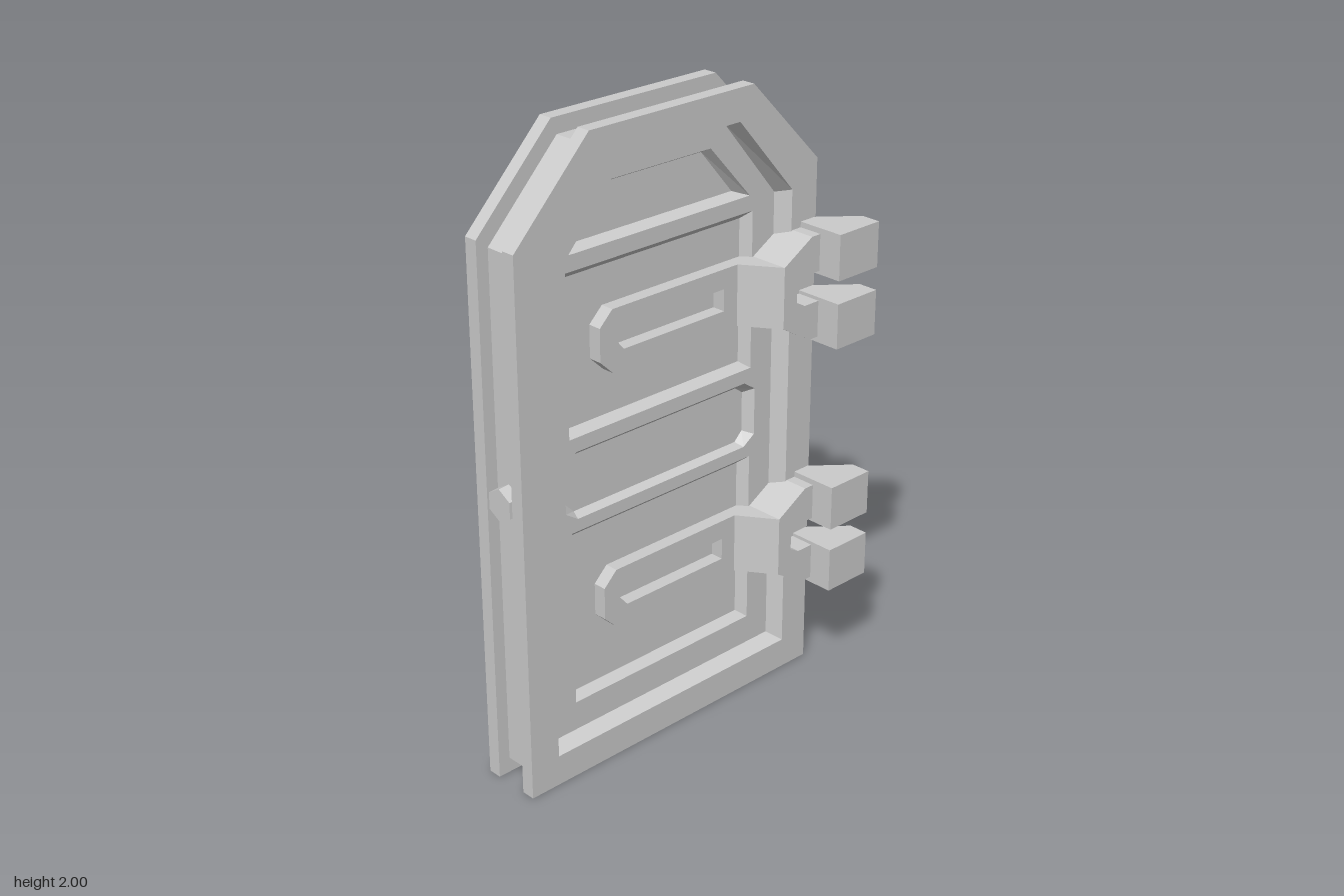
import * as THREE from 'three';

const mat = new THREE.MeshStandardMaterial({ color: 0xcccccc, flatShading: true });
const CX = -0.055; // door centre line
const CZ = -0.08; // middle of the door's thickness

function add(parent, name, geo) {
  const mesh = new THREE.Mesh(geo, mat);
  mesh.name = name;
  parent.add(mesh);
  return mesh;
}

// Symmetric loop from its right half, listed bottom to top
const sym = (half) => [...half, ...half.map(([x, y]) => [-x, y]).reverse()];

// Stitch [loop, z] rings with equal point counts; optionally cap the last one
function loft(rings, cap = false) {
  const pos = [];
  const put = ([x, y], z) => pos.push(x, y, z);
  for (let r = 0; r + 1 < rings.length; r++) {
    const [a, za] = rings[r], [b, zb] = rings[r + 1];
    a.forEach((p, i) => {
      const j = (i + 1) % a.length;
      put(p, za); put(a[j], za); put(b[j], zb);
      put(p, za); put(b[j], zb); put(b[i], zb);
    });
  }
  if (cap) {
    const [l, z] = rings[rings.length - 1];
    for (let i = 1; i + 1 < l.length; i++) { put(l[0], z); put(l[i], z); put(l[i + 1], z); }
  }
  const g = new THREE.BufferGeometry();
  g.setAttribute('position', new THREE.Float32BufferAttribute(pos, 3));
  g.computeVertexNormals();
  return g;
}

const toShape = (pts) => new THREE.Shape(pts.map(([x, y]) => new THREE.Vector2(x, y)));
const toPath = (pts) => new THREE.Path(pts.map(([x, y]) => new THREE.Vector2(x, y)));

// Outline in x,y pushed from z0 to z1
function slab(pts, z0, z1, holes = []) {
  const s = toShape(pts);
  s.holes = holes.map(toPath);
  return new THREE.ExtrudeGeometry(s, { depth: z1 - z0, bevelEnabled: false }).translate(0, 0, z0);
}

// Outline in x,z pushed from y0 to y1
function column(pts, y0, y1) {
  return slab(pts.map(([x, z]) => [x, -z]), y0, y1).rotateX(-Math.PI / 2);
}

const outline = sym([[0.585, 0], [0.585, 1.72], [0.312, 2]]);
const core = sym([[0.545, 0.05], [0.545, 1.69], [0.292, 1.95]]);
const frameOut = sym([[0.48, 0.1], [0.48, 1.645], [0.258, 1.9]]);
const frameIn = sym([[0.455, 0.12], [0.455, 1.632], [0.248, 1.882]]);
const rect = (w, y0, y1) => sym([[w, y0], [w, y1]]);

// Sunken panels: name, rim loop, floor loop
const panels = [
  ['lowerPanel', rect(0.365, 0.215, 0.79), rect(0.34, 0.235, 0.765)],
  ['middlePanel',
    sym([[0.34, 0.83], [0.385, 0.86], [0.385, 1.015], [0.34, 1.045]]),
    sym([[0.33, 0.84], [0.36, 0.87], [0.36, 1.0], [0.33, 1.022]])],
  ['upperPanel', rect(0.365, 1.09, 1.595), rect(0.34, 1.11, 1.57)],
  ['topPanel',
    sym([[0.352, 1.645], [0.19, 1.825]]),
    sym([[0.305, 1.663], [0.18, 1.81]])],
];

// Half of the door thickness, z measured from the middle
function doorHalf(name) {
  const g = new THREE.Group();
  g.name = name;
  add(g, 'frame', loft([
    [core, 0], [core, 0.055], [outline, 0.055], [outline, 0.1], [frameOut, 0.1], [frameIn, 0.05],
  ]));
  const field = toShape(frameIn);
  field.holes = panels.map((p) => toPath(p[1]));
  add(g, 'field', new THREE.ShapeGeometry(field).translate(0, 0, 0.05));
  for (const [n, rim, floor] of panels) add(g, n, loft([[rim, 0.05], [floor, 0.02]], true));
  g.position.set(CX, 0, CZ);
  return g;
}

function hinge(name, y) {
  const g = new THREE.Group();
  g.name = name;
  // Pointed strap with a slot
  add(g, 'strap', slab(
    [[0.235, -0.098], [0.235, 0.098], [-0.262, 0.098], [-0.31, 0.052], [-0.31, -0.052], [-0.262, -0.098]],
    -0.06, -0.016,
    [[[0.18, -0.035], [0.18, 0.035], [-0.22, 0.035], [-0.25, 0], [-0.22, -0.035]]]));
  // Ramp up to the fork
  add(g, 'ramp', column([[0.235, -0.06], [0.235, -0.016], [0.315, 0.1], [0.315, -0.06]], -0.098, 0.098));
  // Two-armed fork
  const arm = [[0.315, 0.098], [0.43, 0.165], [0.468, 0.165], [0.468, 0.048], [0.405, 0.048], [0.37, 0.028]];
  add(g, 'fork', slab([...arm, ...arm.map(([x, v]) => [x, -v]).reverse()], -0.03, 0.1));
  // Knuckles
  const section = [[0.465, 0.02], [0.525, 0.02], [0.635, 0.115], [0.635, 0.18], [0.465, 0.18]];
  add(g, 'upperKnuckle', column(section, 0.037, 0.183));
  add(g, 'lowerKnuckle', column(section, -0.183, -0.037));
  g.position.y = y;
  return g;
}

export function createModel() {
  const model = new THREE.Group();
  model.name = 'door';

  model.add(doorHalf('frontHalf'));
  const back = doorHalf('backHalf');
  back.rotation.y = Math.PI;
  model.add(back);

  model.add(hinge('upperHinge', 1.352), hinge('lowerHinge', 0.517));

  // Latch bolt on the free edge
  const bolt = add(model, 'latchBolt', new THREE.CylinderGeometry(0.052, 0.056, 0.05, 6));
  bolt.rotation.z = Math.PI / 2;
  bolt.rotation.order = 'ZYX';
  bolt.rotation.y = Math.PI / 6 + Math.PI / 3;
  bolt.position.set(-0.612, 0.94, -0.085);
  return model;
}
